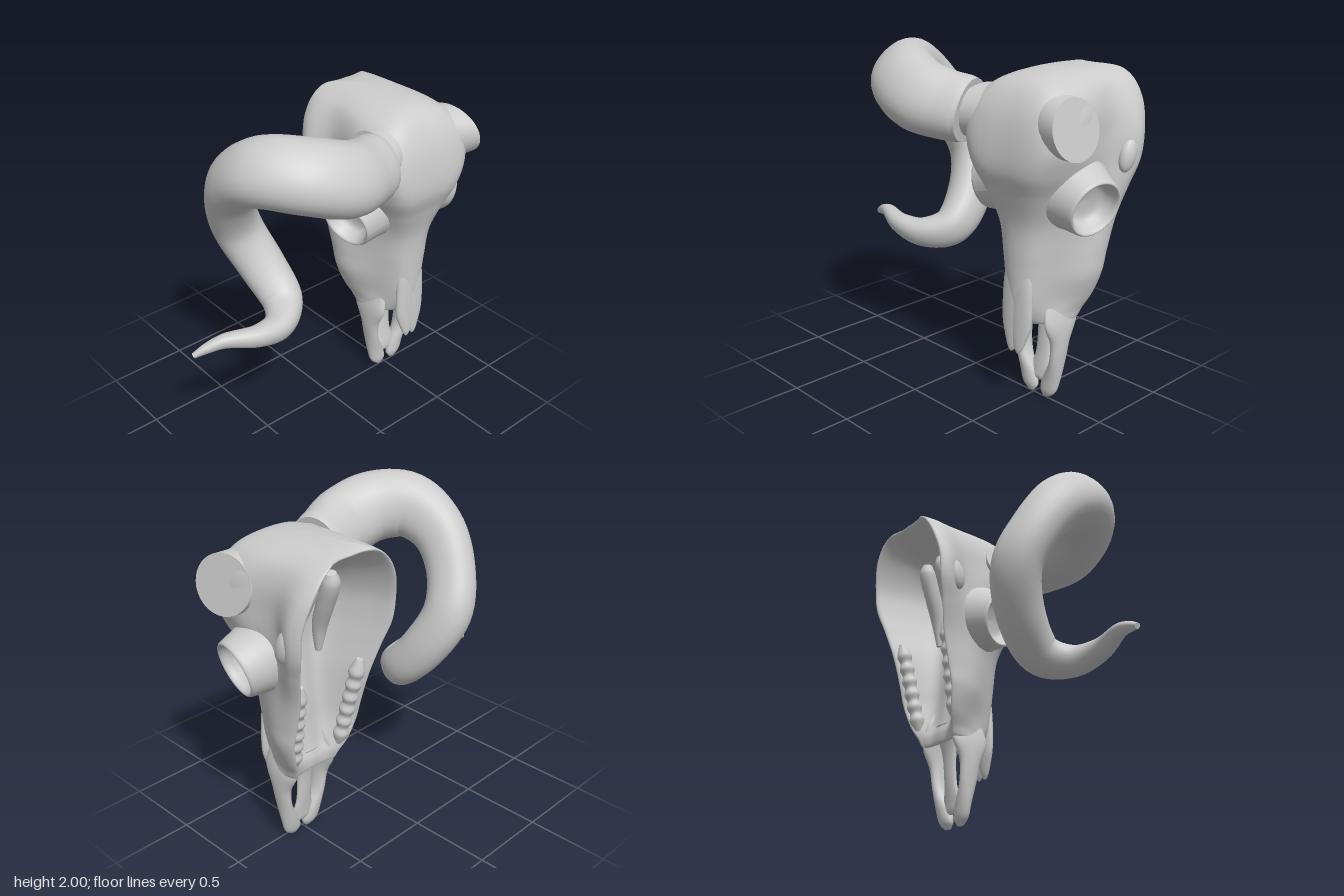
import * as THREE from 'three';

const V = (x, y, z) => new THREE.Vector3(x, y, z);
const material = new THREE.MeshStandardMaterial({ color: 0xcccccc, side: THREE.DoubleSide });
const CENTRE = 0.525; // the skull's middle plane; the single horn balances it

// Skin a list of equal-length rings and close both ends.
function skin(rings) {
  const n = rings[0].length, pos = [], idx = [];
  rings.forEach((r) => r.forEach((p) => pos.push(p.x, p.y, p.z)));
  for (let i = 0; i < rings.length - 1; i++) {
    for (let j = 0; j < n; j++) {
      const k = (j + 1) % n, a = i * n + j, b = i * n + k, d = a + n, c = b + n;
      idx.push(a, d, b, b, d, c);
    }
  }
  [0, rings.length - 1].forEach((i) => {
    const mid = V(0, 0, 0), c = pos.length / 3, base = c + 1;
    rings[i].forEach((p) => mid.addScaledVector(p, 1 / n));
    pos.push(mid.x, mid.y, mid.z);
    rings[i].forEach((p) => pos.push(p.x, p.y, p.z));
    for (let j = 0; j < n; j++) {
      const a = base + j, b = base + ((j + 1) % n);
      if (i === 0) idx.push(c, a, b); else idx.push(c, b, a);
    }
  });
  const g = new THREE.BufferGeometry();
  g.setAttribute('position', new THREE.Float32BufferAttribute(pos, 3));
  g.setIndex(idx);
  g.computeVertexNormals();
  return g;
}

// Smoothly interpolate between a few key rings.
function loft(keys, steps) {
  const rails = keys[0].map((_, j) => new THREE.CatmullRomCurve3(keys.map((k) => k[j])));
  return skin(Array.from({ length: steps + 1 }, (_, i) => rails.map((r) => r.getPoint(i / steps))));
}

// Horizontal ellipse rings, listed from top to bottom as [x, y, z, rx, rz].
function ellipses(rows, steps = 30, n = 20) {
  return loft(rows.map(([x, y, z, rx, rz]) => Array.from({ length: n }, (_, j) => {
    const t = j / n * Math.PI * 2;
    return V(x + rx * Math.sin(t), y, z + rz * Math.cos(t));
  })), steps);
}

// Tapering tube through [x, y, z, radius]; ridge makes the section slightly three-cornered.
function taper(rows, steps, n = 24, ridge = 0) {
  const path = new THREE.CatmullRomCurve3(rows.map((r) => V(r[0], r[1], r[2])));
  const size = new THREE.CatmullRomCurve3(rows.map((r, i) => V(i, r[3], 0)), false, 'catmullrom', 0.5);
  const rings = [];
  let N = V(0, 1, 0);
  for (let i = 0; i <= steps; i++) {
    const p = path.getPoint(i / steps), r = size.getPoint(i / steps).y, T = path.getTangent(i / steps);
    N = N.clone().addScaledVector(T, -N.dot(T)).normalize();
    const B = T.clone().cross(N);
    rings.push(Array.from({ length: n }, (_, j) => {
      const t = -j / n * Math.PI * 2, q = r * (1 + ridge * Math.cos(3 * t));
      return p.clone().addScaledVector(N, q * Math.cos(t)).addScaledVector(B, q * Math.sin(t));
    }));
  }
  return skin(rings);
}

function mirrored(geometry) {
  const g = geometry.clone(), p = g.attributes.position, ix = g.index;
  for (let i = 0; i < p.count; i++) p.setX(i, -p.getX(i));
  for (let i = 0; i < ix.count; i += 3) {
    const t = ix.getX(i);
    ix.setX(i, ix.getX(i + 1));
    ix.setX(i + 1, t);
  }
  g.computeVertexNormals();
  return g;
}

export function createModel() {
  const model = new THREE.Group();
  const skull = new THREE.Group();
  skull.name = 'skull';
  skull.position.x = CENTRE;
  model.add(skull);
  const add = (name, geometry, parent = skull) => {
    const m = new THREE.Mesh(geometry, material);
    m.name = name;
    parent.add(m);
  };
  const pair = (name, geometry) => {
    add('left' + name, geometry);
    add('right' + name, mirrored(geometry));
  };

  // Cranium and muzzle: C-shaped sections with a waist at the temples, hollow towards the back
  // [y, brow half width, front z, side half width, side z, waist, rim half width, rim z, hollow z]
  const rows = [
    [1.932, 0.02, -0.08, 0.03, -0.14, 0.035, 0.03, -0.27, -0.26],
    [1.92, 0.07, 0.07, 0.11, -0.06, 0.12, 0.1, -0.4, -0.39],
    [1.895, 0.13, 0.15, 0.18, -0.03, 0.18, 0.17, -0.475, -0.46],
    [1.84, 0.21, 0.22, 0.265, 0.03, 0.245, 0.25, -0.49, -0.37],
    [1.73, 0.28, 0.285, 0.33, 0.09, 0.29, 0.325, -0.485, -0.2],
    [1.57, 0.29, 0.325, 0.35, 0.1, 0.3, 0.37, -0.455, -0.08],
    [1.42, 0.24, 0.33, 0.32, 0.05, 0.3, 0.365, -0.435, -0.06],
    [1.28, 0.18, 0.285, 0.275, 0.02, 0.295, 0.33, -0.39, -0.06],
    [1.10, 0.12, 0.235, 0.23, 0.02, 0.275, 0.285, -0.34, -0.08],
    [0.90, 0.1, 0.22, 0.19, 0.05, 0.27, 0.27, -0.285, -0.1],
    [0.78, 0.09, 0.215, 0.175, 0.05, 0.262, 0.265, -0.255, -0.11],
    [0.64, 0.08, 0.205, 0.16, 0.03, 0.215, 0.222, -0.22, -0.13],
    [0.56, 0.07, 0.18, 0.16, 0.02, 0.185, 0.185, -0.185, -0.15],
    [0.50, 0.07, 0.13, 0.16, 0, 0.17, 0.16, -0.155, -0.14],
  ];
  const sections = rows.map(([y, a, zf, b, zm, d, c, zb, zi]) => {
    const half = [[a, zf - 0.03], [b, zm], [d, zb * 0.55 + zm * 0.45], [c, zb * 0.87 + zm * 0.13], [c * 0.91, zb],
      [c * 0.74, zb + 0.35 * (zi - zb)], [c * 0.4, zi]];
    const pts = [[0, zf], ...half, [0, zi], ...half.map(([x, z]) => [-x, z]).reverse()];
    const curve = new THREE.CatmullRomCurve3(pts.map(([x, z]) => V(x, y, z)), true);
    return Array.from({ length: 96 }, (_, j) => curve.getPoint(j / 96));
  });
  // Nasal cavity turned back up into the muzzle
  const last = sections[sections.length - 1];
  [[0.51, 0.82], [0.6, 0.65]].forEach(([y, k]) => sections.push(last.map((p) => V(p.x * k, y, p.z * k))));
  add('cranium', loft(sections, 150));

  // Eye sockets: rim flaring out of the cheek around a shallow cup
  const socket = new THREE.LatheGeometry(new THREE.SplineCurve([[0.225, -0.2], [0.195, -0.11], [0.176, -0.035],
    [0.168, 0], [0.157, 0.012], [0.144, 0], [0.132, -0.04], [0.1, -0.085], [0.001, -0.1]]
    .map((p) => new THREE.Vector2(...p))).getPoints(36), 44);
  socket.applyQuaternion(new THREE.Quaternion().setFromUnitVectors(V(0, 1, 0), V(0.94, -0.26, 0.17).normalize()));
  socket.translate(0.393, 1.235, 0.01);
  pair('EyeSocket', socket);

  // Horn cores swelling out of the brow, cut off on a slant: [x, ry, rz, z, slant]
  const core = [[0.02, 0.16, 0.11, 0.07, 0], [0.2, 0.175, 0.18, 0.1, 0.3], [0.28, 0.165, 0.19, 0.12, 0.7],
    [0.35, 0.16, 0.2, 0.13, 1]];
  pair('HornCore', loft(core.map(([x, ry, rz, z, slant]) => Array.from({ length: 36 }, (_, j) => {
    const t = -j / 36 * Math.PI * 2, dy = ry * Math.cos(t), dz = rz * Math.sin(t);
    return V(x + slant * (0.1 * dz - 0.26 * dy), 1.67 + dy, z + dz);
  })), 16));

  // Nasal bones: one smooth bridge with a notch between the two points
  pair('NasalBone', ellipses([[0.02, 1.0, 0.15, 0.04, 0.03], [0.025, 0.8, 0.17, 0.075, 0.036],
    [0.028, 0.62, 0.177, 0.082, 0.034], [0.028, 0.5, 0.18, 0.077, 0.032],
    [0.026, 0.42, 0.187, 0.053, 0.025], [0.026, 0.36, 0.193, 0.028, 0.016], [0.027, 0.335, 0.195, 0.01, 0.007]]));

  // Forked front jaw with the palate strip between its prongs
  pair('JawProng', ellipses([[0.1, 0.74, -0.03, 0.02, 0.08], [0.12, 0.62, -0.04, 0.035, 0.12],
    [0.143, 0.5, -0.03, 0.038, 0.13], [0.145, 0.38, -0.025, 0.038, 0.075], [0.13, 0.25, -0.025, 0.038, 0.058],
    [0.09, 0.12, -0.025, 0.058, 0.042], [0.069, 0.04, -0.02, 0.055, 0.03], [0.06, 0.003, -0.015, 0.025, 0.012]], 44));
  add('palateStrip', ellipses([[0, 0.62, -0.1, 0.1, 0.04], [0, 0.45, -0.07, 0.06, 0.025],
    [0, 0.25, -0.05, 0.055, 0.022], [0, 0.15, -0.035, 0.075, 0.022], [0, 0.1, -0.03, 0.07, 0.02],
    [0, 0.08, -0.03, 0.04, 0.01]]));

  // Wavy ridges of cheek teeth along both rims
  const teeth = Array.from({ length: 15 }, (_, i) => {
    const t = i / 14;
    return [0.225 - 0.05 * t, 1.18 - 0.58 * t, -0.3 + 0.13 * t, i % 14 === 0 ? 0.02 : 0.042 + 0.006 * (-1) ** i];
  });
  pair('ToothRow', taper(teeth, 70, 14));

  // Knobbed ridges inside the hollow, fading into the palate
  pair('InnerRidge', taper([[0.07, 1.72, -0.24, 0.03], [0.08, 1.66, -0.23, 0.052], [0.095, 1.52, -0.17, 0.052],
    [0.115, 1.36, -0.1, 0.045], [0.12, 1.2, -0.08, 0.02]], 28, 14));

  // Ear knobs behind the temples
  const ear = new THREE.SphereGeometry(1, 20, 14);
  ear.scale(0.045, 0.1, 0.055);
  ear.rotateX(-0.3);
  ear.translate(0.335, 1.46, -0.32);
  pair('EarKnob', ear);

  // The one remaining horn: a spiral that ends in an outward point
  add('horn', taper([[0.165, 1.665, 0.19, 0.18], [0.13, 1.67, 0.2, 0.188], [0.03, 1.68, 0.235, 0.195],
    [-0.14, 1.715, 0.28, 0.208], [-0.34, 1.78, 0.225, 0.205], [-0.49, 1.79, 0.06, 0.193],
    [-0.53, 1.68, -0.14, 0.163], [-0.49, 1.48, -0.285, 0.145], [-0.4, 1.25, -0.35, 0.145],
    [-0.315, 1.0, -0.235, 0.138], [-0.3, 0.83, -0.07, 0.122], [-0.42, 0.79, 0.06, 0.092],
    [-0.6, 0.81, 0.095, 0.066], [-0.8, 0.835, 0.035, 0.043], [-0.9, 0.81, 0, 0.03],
    [-0.97, 0.78, -0.025, 0.016]], 110, 32, 0.05), model);

  return model;
}
